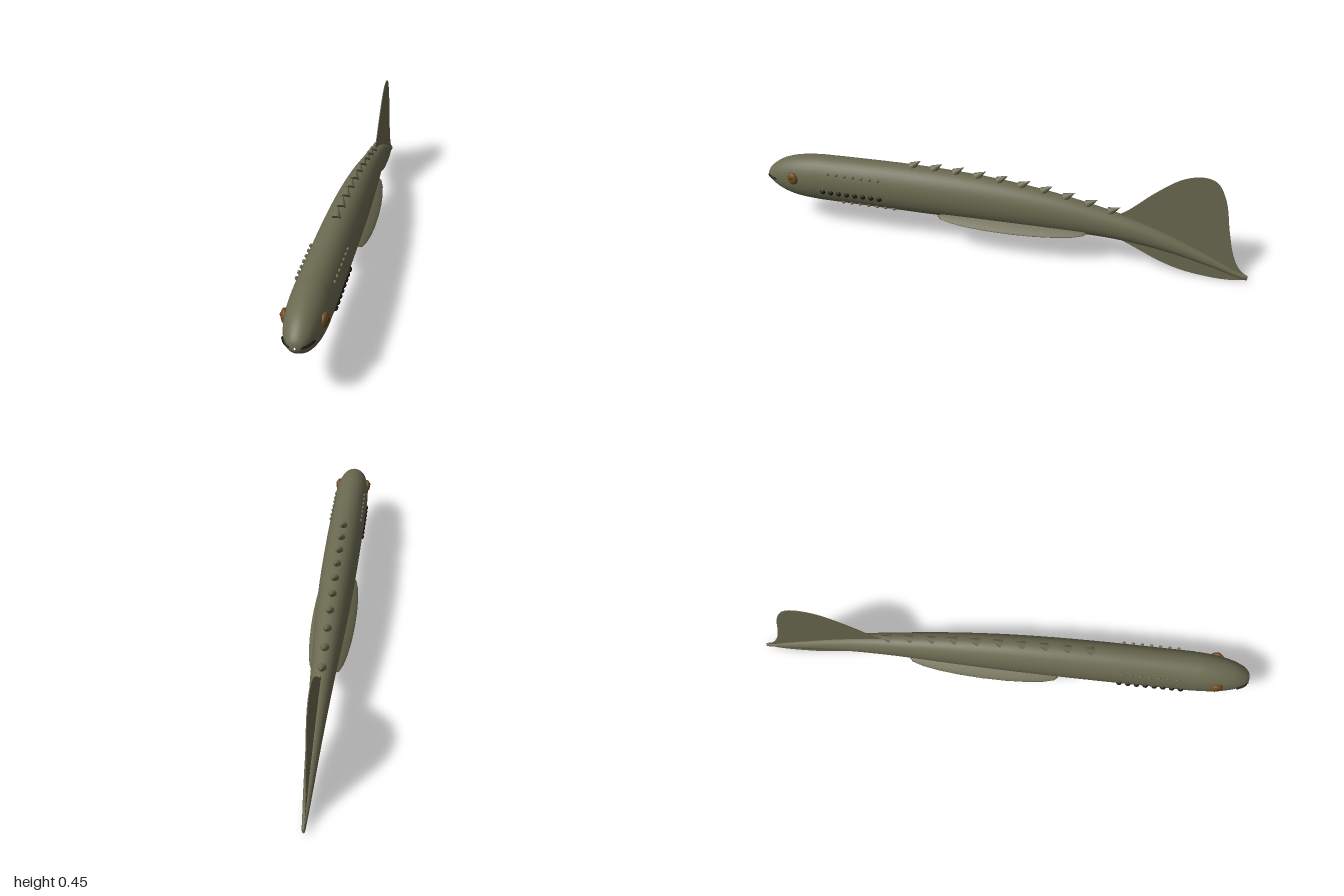
import * as THREE from 'three';

const mat = (name, color) => {
  const m = new THREE.MeshStandardMaterial({ color });
  m.name = name;
  return m;
};

// Sections: [z, top y, bottom y, half width], listed from front to back
const BODY = [
  [0.77, 0.336, 0.134, 0.075], [0.6, 0.34, 0.134, 0.075], [0.4, 0.342, 0.134, 0.075],
  [0.2, 0.338, 0.134, 0.073], [0, 0.325, 0.134, 0.068], [-0.2, 0.3, 0.134, 0.059],
  [-0.4, 0.26, 0.134, 0.047], [-0.55, 0.222, 0.122, 0.038], [-0.7, 0.168, 0.096, 0.028],
  [-0.85, 0.1, 0.057, 0.018], [-0.95, 0.05, 0.025, 0.01], [-0.995, 0.035, 0.012, 0.006], [-1, 0.024, 0.022, 0.001],
];
const HEAD = [
  [1, 0.23, 0.222, 0.003], [0.992, 0.25, 0.206, 0.024], [0.97, 0.273, 0.187, 0.041], [0.93, 0.3, 0.162, 0.056],
  [0.87, 0.321, 0.143, 0.068], [0.8, 0.333, 0.136, 0.0735], [0.74, 0.335, 0.135, 0.0735],
];

// Smooth skin over elliptical sections
function loft(sections, rings, sides = 40) {
  const edge = new THREE.CatmullRomCurve3(sections.map(s => new THREE.Vector3(s[0], s[1], s[2])), false, 'catmullrom');
  const wide = new THREE.CatmullRomCurve3(sections.map(s => new THREE.Vector3(s[0], s[3], 0)), false, 'catmullrom');
  const pos = [], idx = [];
  for (let i = 0; i <= rings; i++) {
    const e = edge.getPoint(i / rings), w = wide.getPoint(i / rings).y;
    for (let j = 0; j < sides; j++) {
      const a = (j / sides) * Math.PI * 2;
      pos.push(w * Math.cos(a), (e.y + e.z) / 2 + (e.y - e.z) / 2 * Math.sin(a), e.x);
      if (i === rings) continue;
      const k = (j + 1) % sides, p = i * sides, q = p + sides;
      idx.push(p + j, q + j, p + k, p + k, q + j, q + k);
    }
  }
  const g = new THREE.BufferGeometry();
  g.setAttribute('position', new THREE.Float32BufferAttribute(pos, 3));
  g.setIndex(idx);
  g.computeVertexNormals();
  return g;
}

// Interpolated [top, bottom, half width] of the body at z
function bodyAt(z) {
  let i = 0;
  while (i < BODY.length - 2 && BODY[i + 1][0] > z) i++;
  const a = BODY[i], b = BODY[i + 1], t = (a[0] - z) / (a[0] - b[0]);
  return [1, 2, 3].map(k => a[k] + (b[k] - a[k]) * t);
}
function skinX(y, z) {
  const [top, bottom, w] = bodyAt(z);
  const s = (2 * y - top - bottom) / (top - bottom);
  return w * Math.sqrt(Math.max(0, 1 - s * s));
}

// Thin upright fin; the points are [distance behind centre, height]
function finGeometry(outline) {
  const shape = new THREE.Shape();
  shape.moveTo(...outline[0]);
  shape.splineThru(outline.slice(1).map(p => new THREE.Vector2(...p)));
  [[0.9, 0.06], [0.7, 0.13], [0.55, 0.18]].forEach(p => shape.lineTo(...p));
  const g = new THREE.ExtrudeGeometry(shape, { depth: 0.003, bevelEnabled: false, curveSegments: 40 });
  return g.rotateY(Math.PI / 2).translate(-0.0015, 0, 0);
}

export function createModel() {
  const group = new THREE.Group();
  const skin = mat('olive skin', 0x6a6950);
  const dark = mat('dark openings', 0x1c1c12);
  const amber = mat('amber eye', 0x6e4c20);
  const brown = mat('brown pupil', 0x46300f);
  const maroon = mat('maroon keel', 0x3a1a14);
  const add = (name, geometry, material, x = 0, y = 0, z = 0) => {
    const m = new THREE.Mesh(geometry, material);
    m.name = name;
    m.position.set(x, y, z);
    group.add(m);
    return m;
  };

  add('body', loft(BODY, 96), skin);
  add('head', loft(HEAD, 48), skin);
  add('bellyKeel', new THREE.BoxGeometry(0.006, 0.006, 1.2), maroon, 0, 0.134, 0.15);

  // Tail fins
  add('upperTailFin', finGeometry(
    [[0.47, 0.235], [0.52, 0.27], [0.61, 0.357], [0.7, 0.427], [0.78, 0.451], [0.84, 0.43], [0.88, 0.35],
      [0.905, 0.23], [0.93, 0.13], [0.96, 0.065], [0.998, 0.03]]), skin);
  add('lowerTailFin', finGeometry(
    [[0.46, 0.14], [0.54, 0.103], [0.65, 0.05], [0.75, 0.018], [0.86, 0.004], [0.94, 0.004], [0.995, 0.016]]), skin);

  // Back spikes, cones leaning to the rear
  const spike = new THREE.ConeGeometry(0.017, 0.048, 16).translate(0, 0.024, 0);
  for (let i = 0; i < 10; i++) {
    const z = 0.362 - i * 0.0895;
    add('backSpike', spike, skin, 0, bodyAt(z)[0] + 0.001, z).rotation.x = -0.9 - 0.15 * i / 9;
  }

  const ball = new THREE.SphereGeometry(1, 20, 14);
  for (const s of [1, -1]) {
    const side = s > 0 ? 'left' : 'right';

    // Long drooping side fin, its rear end tucked in
    const fin = add(side + 'SideFin', ball, skin, s * 0.05, 0.158, -0.06);
    fin.scale.set(0.044, 0.007, 0.305);
    fin.rotation.set(0, s * 0.03, -s * 0.52);

    // Eye with a small pupil
    const eye = add(side + 'Eye', ball, amber, s * 0.066, 0.25, 0.865);
    eye.scale.set(0.013, 0.027, 0.025);
    eye.rotation.y = -s * 0.2;
    add(side + 'Pupil', ball, brown, s * 0.077, 0.256, 0.867).scale.set(0.004, 0.007, 0.007);

    // Mouth slit with rounded ends
    const path = new THREE.CatmullRomCurve3([[0.022, 0.991], [0.038, 0.977], [0.05, 0.952]]
      .map(([x, z]) => new THREE.Vector3(s * x, 0.228, z)));
    add(side + 'Mouth', new THREE.TubeGeometry(path, 16, 0.005, 10), dark);
    for (const t of [0, 1]) {
      const e = path.getPoint(t);
      add(side + 'MouthEnd', ball, dark, e.x, e.y, e.z).scale.setScalar(0.005);
    }

    // Rows of side openings
    const row = (name, n, z0, step, y, r, material, out) => {
      for (let i = 0; i < n; i++) {
        const z = z0 - i * step;
        add(side + name, ball, material, s * (skinX(y, z) + out), y, z).scale.set(r * 0.8, r, r);
      }
    };
    row('GillOpening', 8, 0.732, 0.035, 0.209, 0.011, dark, 0);
    row('UpperPore', 7, 0.705, 0.036, 0.292, 0.007, skin, 0.003);
    row('LowerPore', 7, 0.655, 0.037, 0.157, 0.007, skin, 0.002);
  }
  return group;
}
